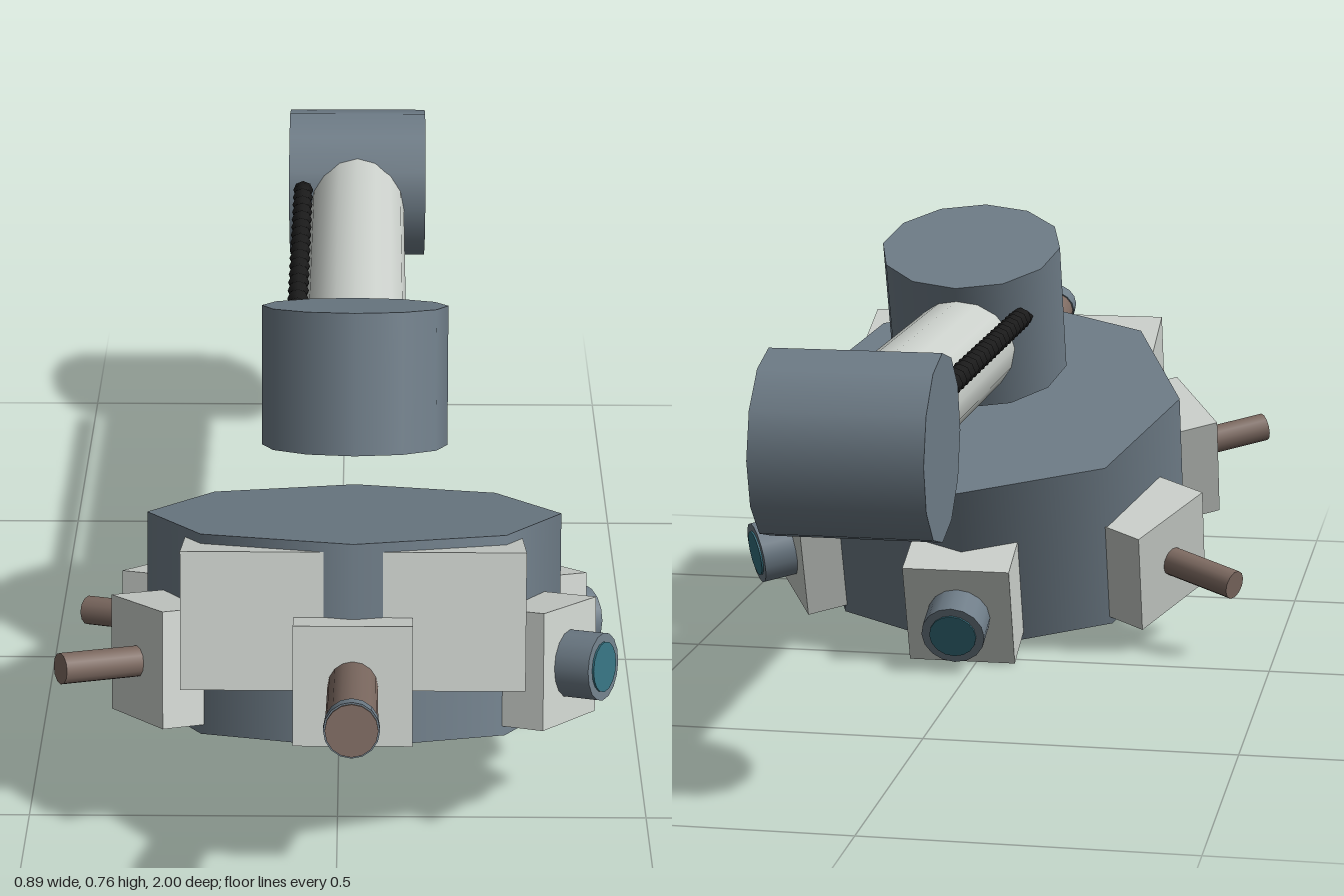
import * as THREE from 'three';

const mat = (name, color, extra = {}) =>
  Object.assign(new THREE.MeshStandardMaterial({ color, ...extra }), { name });

export function createModel() {
  const slate = mat('slate', 0x6e7c87);
  const pale = mat('pale grey', 0xcbd0cb);
  const brown = mat('brown', 0x7d6a61);
  const teal = mat('teal glass', 0x35707f);
  const black = mat('black', 0x1b1b1b);

  const model = new THREE.Group();
  model.name = 'turretArm';
  model.position.x = 0.025;

  function add(parent, name, geometry, material, x, y, z) {
    const mesh = new THREE.Mesh(geometry, material);
    mesh.name = name;
    mesh.position.set(x, y, z);
    parent.add(mesh);
    return mesh;
  }
  // Cylinder lying along z from z0 to z1
  const rod = (r, z0, z1, sides = 16) =>
    new THREE.CylinderGeometry(r, r, z1 - z0, sides).rotateX(Math.PI / 2).translate(0, 0, (z0 + z1) / 2);

  const tilt = THREE.MathUtils.degToRad(-20);

  // Rear shoulder joint, arm and upper knuckle
  add(model, 'rearJoint', new THREE.CylinderGeometry(0.139, 0.139, 0.255, 12).rotateZ(Math.PI / 2), slate, 0, 0.561, -0.861);
  add(model, 'arm', rod(0.0875, -0.82, 0.105), pale, 0, 0.5625, 0);
  const knuckle = add(model, 'knuckle', new THREE.CylinderGeometry(0.153, 0.153, 0.23, 12), slate, 0, 0.6175, 0.0975);
  knuckle.rotation.x = tilt;

  // Corrugated hose beside the arm
  const hose = [new THREE.Vector2(0, 0)];
  const ribs = 40, hoseLength = 0.69;
  for (let i = 0; i <= ribs; i++) {
    hose.push(new THREE.Vector2(i % 2 ? 0.013 : 0.0185, (i / ribs) * hoseLength));
  }
  hose.push(new THREE.Vector2(0, hoseLength));
  add(model, 'hose', new THREE.LatheGeometry(hose, 8).rotateX(Math.PI / 2), black, -0.1, 0.617, -0.686);

  // Tilted octagonal head
  const head = new THREE.Group();
  head.name = 'head';
  head.position.set(0, 0.2885, 0.295);
  head.rotation.x = tilt;
  model.add(head);
  add(head, 'drum', new THREE.CylinderGeometry(0.338, 0.338, 0.318, 8), slate, 0, 0, 0);

  // Twin front plates
  for (const side of [-1, 1]) {
    add(head, 'frontPlate', new THREE.BoxGeometry(0.239, 0.217, 0.144), pale, side * 0.1475, 0.0355, 0.247);
  }

  // Six modules around the drum: one long barrel, three lenses, two short barrels
  const kinds = ['long', 'lens', 'lens', 'lens', 'short', 'short'];
  kinds.forEach((kind, i) => {
    const module = new THREE.Group();
    module.name = kind + 'Module';
    module.position.y = -0.051;
    module.rotation.y = (i * Math.PI) / 3;
    head.add(module);
    add(module, 'housing', new THREE.BoxGeometry(0.183, 0.186, 0.183), pale, 0, 0, 0.304);
    if (kind === 'lens') {
      add(module, 'lensBarrel', rod(0.054, 0.38, 0.454), slate, 0, 0, 0);
      add(module, 'lensGlass', rod(0.04, 0.451, 0.457), teal, 0, 0, 0);
    } else if (kind === 'short') {
      add(module, 'shortBarrel', rod(0.025, 0.38, 0.528, 12), brown, 0, 0, 0);
    } else {
      add(module, 'longBarrel', rod(0.0385, 0.38, 0.718), brown, 0, 0, 0);
      add(module, 'muzzleRing', rod(0.041, 0.685, 0.714), slate, 0, 0, 0);
    }
  });

  return model;
}
